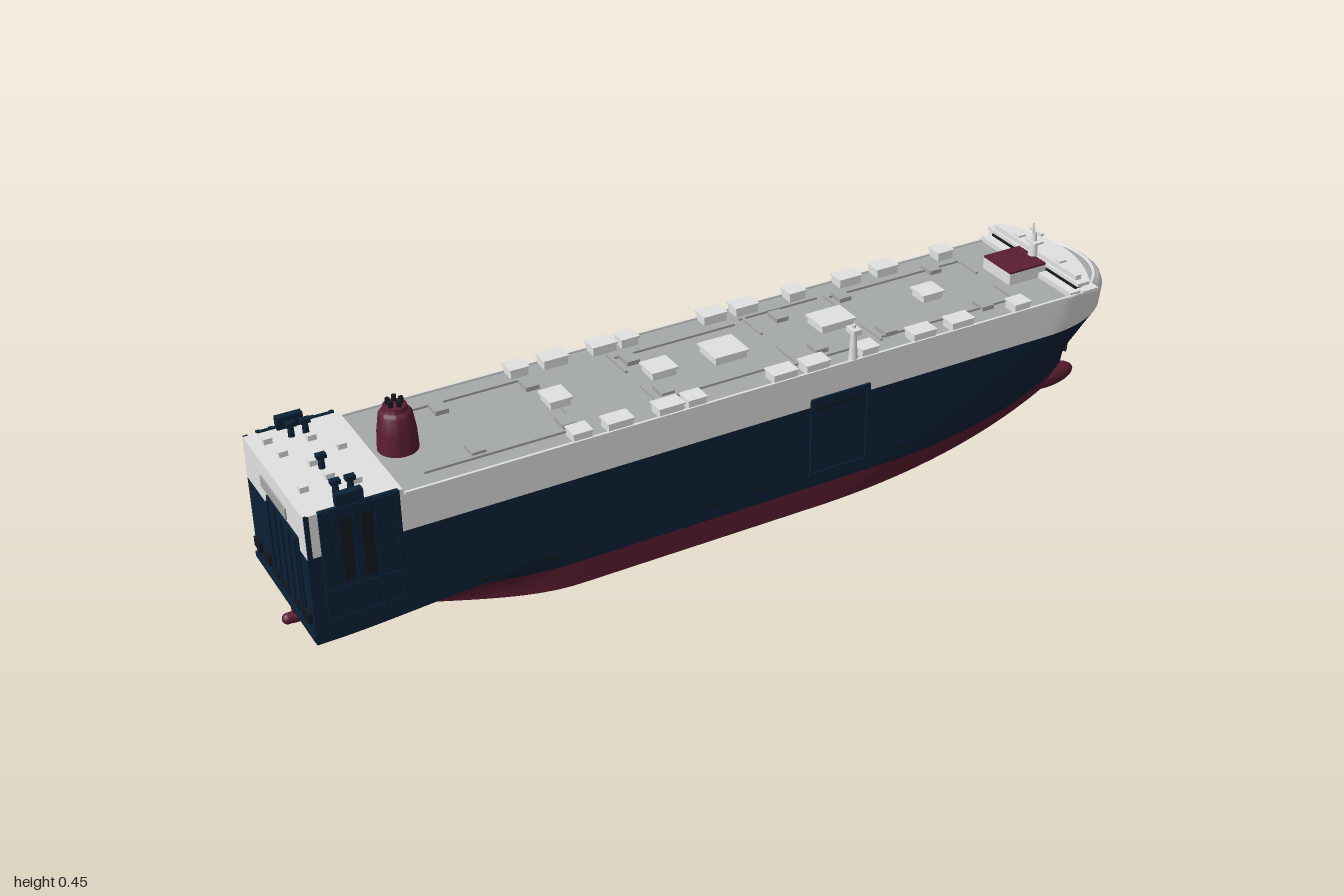
import * as THREE from 'three';
import { toCreasedNormals } from 'three/addons/utils/BufferGeometryUtils.js';

const material = (name, color, side = THREE.FrontSide) => {
  const m = new THREE.MeshStandardMaterial({ color, side });
  m.name = name;
  return m;
};
const B = 0.168; // half beam
const TOP = 0.335; // main deck height

// Linear lookup in a short [key, value] list
function lookup(list, k) {
  if (k <= list[0][0]) return list[0][1];
  for (let i = 1; i < list.length; i++) {
    const [a, va] = list[i - 1], [b, vb] = list[i];
    if (k <= b) return va + (vb - va) * (k - a) / (b - a);
  }
  return list[list.length - 1][1];
}
const stem = [[0, 0.9], [0.02, 0.93], [0.055, 0.94], [0.1, 0.948], [0.15, 0.962], [0.2, 0.982], [0.255, 0.998], [0.3, 1], [0.32, 0.99], [TOP, 0.965]];
const stern = [[0, -0.93], [0.055, -0.975], [0.075, -0.985]];
const sternWidth = [[0, 0.02], [0.02, 0.1], [0.04, 0.26], [0.055, 0.5], [0.075, 1]];
const entry = [[0, 0.15], [0.055, 0.3], [0.15, 0.55], [0.255, 0.76], [TOP, 0.8]];

// Half breadth at station x on the level n
function breadth(x, n) {
  const x0 = lookup(entry, n), s = Math.min(1, n / 0.255);
  const t = THREE.MathUtils.clamp((x - x0) / (lookup(stem, n) - x0), 0, 1);
  const bow = Math.pow(1 - Math.pow(t, 2), 1 - 0.5 * s);
  const aft = THREE.MathUtils.smoothstep(-x, 0.42, 0.95);
  return B * bow * (1 - (1 - lookup(sternWidth, n)) * aft);
}

// Hull band between levels; a level given as [n] is drawn in to the centreline
function hullBand(levels) {
  const N = 72, pos = [], idx = [], W = N + 2;
  for (const side of [1, -1]) {
    const base = pos.length / 3;
    levels.forEach((level, j) => {
      const centre = Array.isArray(level), n = centre ? level[0] : level;
      for (let i = -1; i <= N; i++) {
        const u = (1 - Math.cos(Math.PI * Math.max(i, 0) / N)) / 2;
        const x = THREE.MathUtils.lerp(lookup(stern, n), lookup(stem, n), u);
        const drop = n < 0.1 ? 0.45 * n * Math.min(1, (0.1 - n) / 0.045) * THREE.MathUtils.smoothstep(-x, 0.6, 0.97) : 0;
        pos.push(x, n - drop, centre || i < 0 ? 0 : side * breadth(x, n));
        if (j && i >= 0) {
          const d = base + j * W + i + 1, c = d - 1, b = d - W, a = b - 1;
          if (side > 0) idx.push(a, b, d, a, d, c);
          else idx.push(a, d, b, a, c, d);
        }
      }
    });
  }
  const g = new THREE.BufferGeometry();
  g.setAttribute('position', new THREE.Float32BufferAttribute(pos, 3));
  g.setIndex(idx);
  return toCreasedNormals(g, 0.7);
}

// Flat slab with a bowed forward edge
function bowedSlab(x0, x1, bulge, half, h) {
  const s = new THREE.Shape();
  s.moveTo(x0, -half);
  s.lineTo(x1, -half);
  s.quadraticCurveTo(x1 + 2 * bulge, 0, x1, half);
  s.lineTo(x0, half);
  s.closePath();
  const g = new THREE.ExtrudeGeometry(s, { depth: h, bevelEnabled: false, curveSegments: 20 });
  return g.rotateX(-Math.PI / 2);
}

export function createModel() {
  const ship = new THREE.Group();
  ship.name = 'carCarrierShip';
  const white = material('white paint', 0xe2e2e2);
  const grey = material('deck grey', 0xa6a9a9);
  const blue = material('navy hull', 0x0a2136);
  const red = material('maroon paint', 0x5c1d31);
  const dark = material('dark openings', 0x14191e);

  const add = (name, geo, mat, x = 0, y = 0, z = 0) => {
    const m = new THREE.Mesh(geo, mat);
    m.name = name;
    m.position.set(x, y, z);
    ship.add(m);
    return m;
  };
  // Box given by its centre in plan and its base height
  const box = (name, mat, x, y, z, w, h, d) => add(name, new THREE.BoxGeometry(w, h, d), mat, x, y + h / 2, z);
  const post = (name, mat, x, y, z, r0, r1, h, sides = 12) =>
    add(name, new THREE.CylinderGeometry(r1, r0, h, sides), mat, x, y + h / 2, z);

  // Hull in painted bands
  add('lowerHull', hullBand([[0], 0, 0.006, 0.02, 0.04, 0.055]), red);
  add('hullSides', hullBand([0.055, 0.065, 0.075, 0.1, 0.13, 0.165, 0.2, 0.23, 0.255]), blue);
  add('upperHull', hullBand([0.255, 0.28, 0.3, 0.311, 0.32, 0.328, TOP]), white);
  add('mainDeck', hullBand([TOP, [TOP]]), grey);
  add('bowBulb', new THREE.SphereGeometry(1, 24, 16).scale(0.085, 0.03, 0.03), red, 0.892, 0.031);
  box('rudder', red, -0.955, 0.002, 0, 0.045, 0.04, 0.01);
  add('rudderBulb', new THREE.CapsuleGeometry(0.012, 0.05, 6, 14).rotateZ(Math.PI / 2), red, -0.963, 0.014);

  // Low bulwark following the bow
  const rim = [];
  for (let i = -16; i <= 16; i++) {
    const a = i / 16 * Math.PI / 2;
    rim.push(new THREE.Vector3(0.8 + 0.162 * Math.cos(a), TOP + 0.003, 0.166 * Math.sin(a)));
  }
  add('bowBulwark', new THREE.TubeGeometry(new THREE.CatmullRomCurve3(rim), 60, 0.005, 6), white);

  // Raised aft deck with vents and mooring gear
  box('aftDeck', white, -0.885, 0.33, 0, 0.2, 0.02, 2 * B);
  [[-0.95, 0.08], [-0.94, -0.06], [-0.9, 0.0], [-0.89, 0.06], [-0.87, -0.09], [-0.85, 0.1], [-0.83, -0.03], [-0.95, -0.12]]
    .forEach(([x, z]) => box('deckVent', white, x, 0.35, z, 0.018, 0.012, 0.014));
  [[-0.9, 0.12], [-0.87, 0.12], [-0.9, -0.12], [-0.87, -0.12], [-0.89, 0.02]]
    .forEach(([x, z]) => {
      post('mooringPost', blue, x, 0.35, z, 0.007, 0.006, 0.025);
      box('mooringHead', blue, x, 0.373, z, 0.02, 0.009, 0.014);
    });

  // Transom: stern ramp, ports and name-free panel
  box('sternRamp', blue, -0.986, 0.085, 0.045, 0.006, 0.2, 0.17);
  for (let i = 0; i < 5; i++) box('rampRib', blue, -0.99, 0.1, -0.03 + i * 0.0375, 0.006, 0.18, 0.006);
  for (let i = 0; i < 6; i++) box('sternPort', dark, -0.986, 0.1, -0.14 + i * 0.056, 0.012, 0.022, 0.032);
  box('sternPanel', grey, -0.985, 0.29, 0, 0.006, 0.025, 0.14);
  box('sternSill', blue, -0.983, 0.065, 0, 0.012, 0.012, 2 * B);

  for (const s of [1, -1]) {
    // Quarter ramp towers
    box('rampTower', blue, -0.875, 0.1, s * 0.166, 0.16, 0.252, 0.008);
    [-0.952, -0.925, -0.885, -0.84, -0.798].forEach((x) => box('towerRib', blue, x, 0.1, s * 0.169, 0.009, 0.252, 0.008));
    [0.1, 0.165, 0.34].forEach((y) => box('towerBeam', blue, -0.875, y, s * 0.169, 0.16, 0.008, 0.007));
    box('towerHead', blue, -0.89, 0.345, s * 0.16, 0.055, 0.032, 0.016);
    [-0.905, -0.862].forEach((x) => box('towerSlot', dark, x, 0.185, s * 0.168, 0.022, 0.14, 0.006));
    box('sternPost', blue, -0.979, 0.255, s * 0.1665, 0.01, 0.095, 0.005);

    // Side loading door with raised frame
    box('sideDoor', blue, 0.204, 0.088, s * B, 0.14, 0.185, 0.004);
    [0.134, 0.274].forEach((x) => box('doorPost', blue, x, 0.085, s * 0.169, 0.008, 0.19, 0.009));
    [0.085, 0.268].forEach((y) => box('doorBeam', blue, 0.204, y, s * 0.169, 0.148, 0.007, 0.009));
    box('doorSeam', dark, 0.204, 0.245, s * 0.1695, 0.125, 0.006, 0.003);

    // Small recesses along the side
    [-0.62, -0.48, -0.4, -0.1, 0.02, 0.36].forEach((x) => box('sidePort', dark, x, 0.083, s * B, 0.03, 0.007, 0.003));

    // Deck edge coaming
    box('deckCoaming', white, 0.02, TOP, s * 0.165, 1.6, 0.005, 0.006);

    // Ventilator houses along the deck edge
    [-0.4, -0.315, -0.2, -0.14, 0.07, 0.15, 0.28, 0.42, 0.52, 0.68].forEach((x, i) => {
      const w = i % 3 ? 0.055 : 0.04;
      box('edgeVentHouse', white, x, TOP, s * 0.146, w, 0.018, 0.036);
      box('edgeVentCap', white, x, 0.353, s * 0.146, w + 0.005, 0.004, 0.041);
    });

    // Inner lockers and walkways
    [[-0.6, 0.09], [-0.4, 0.085], [-0.17, 0.075], [0.2, 0.08], [0.37, 0.09], [0.62, 0.1]]
      .forEach(([x, z]) => box('deckLocker', grey, x, TOP, s * z, 0.03, 0.01, 0.04));
    [[-0.55, 0.115, 0.34], [-0.05, 0.1, 0.3], [0.22, 0.115, 0.2], [0.52, 0.105, 0.36]]
      .forEach(([x, z, w]) => box('walkway', grey, x, TOP, s * z, w, 0.005, 0.007));
    [-0.38, -0.2, 0.13, 0.34, 0.7].forEach((x) => box('crossWalk', grey, x, TOP, s * 0.075, 0.007, 0.005, 0.085));

    // Hawse recesses and anchors on the bow
    const anchor = box('anchor', dark, 0.915, 0.115, s * breadth(0.915, 0.12), 0.02, 0.013, 0.012);
    anchor.rotation.y = s * 0.8;

    // Bridge wing
    box('bridgeWing', white, 0.86, 0.341, s * 0.16, 0.045, 0.007, 0.03);
  }

  // Centreline hatch houses
  [[-0.38, 0.045, 0.05], [-0.14, 0.055, 0.05], [0.015, 0.075, 0.07], [0.285, 0.08, 0.06], [0.54, 0.05, 0.045]]
    .forEach(([x, w, d]) => {
      box('hatchHouse', white, x, TOP, 0, w, 0.016, d);
      box('hatchRoof', white, x, 0.35, 0, w + 0.008, 0.005, d + 0.008);
    });

  // Funnel
  const funnel = new THREE.Group();
  funnel.name = 'funnel';
  funnel.position.set(-0.725, TOP, 0);
  ship.add(funnel);
  const stack = [[0, 0], [0.042, 0], [0.04, 0.04], [0.034, 0.08], [0.03, 0.085], [0.026, 0.087], [0.024, 0.098], [0, 0.098]]
    .map((p) => new THREE.Vector2(...p));
  const body = new THREE.Mesh(toCreasedNormals(new THREE.LatheGeometry(stack, 28), 0.6), red);
  body.name = 'funnelCasing';
  funnel.add(body);
  for (let i = 0; i < 5; i++) {
    const pipe = new THREE.Mesh(new THREE.CylinderGeometry(0.005, 0.005, 0.02, 10), dark);
    pipe.name = 'exhaustPipe';
    pipe.position.set(0.014 * Math.cos(i * 1.257), 0.101, 0.014 * Math.sin(i * 1.257));
    funnel.add(pipe);
  }

  // Wheelhouse with window band and overhanging roof
  add('bridgeDeck', bowedSlab(0.81, 0.855, 0.06, 0.166, 0.012), white, 0, TOP, 0);
  add('bridgeWindows', bowedSlab(0.832, 0.85, 0.05, 0.155, 0.012), dark, 0, 0.347, 0);
  add('bridgeRoof', bowedSlab(0.828, 0.86, 0.054, 0.168, 0.008), white, 0, 0.358, 0);
  add('bridgeTop', bowedSlab(0.835, 0.85, 0.045, 0.15, 0.011), white, 0, 0.366, 0);
  box('bridgeAnnex', white, 0.78, TOP, 0, 0.1, 0.028, 0.1);
  box('annexRoof', red, 0.78, 0.363, 0, 0.1, 0.004, 0.1);
  [-0.075, 0.075].forEach((z) => box('roofLocker', white, 0.85, 0.377, z, 0.02, 0.005, 0.018));

  // Radar mast
  post('radarMast', white, 0.83, 0.365, 0, 0.012, 0.005, 0.06);
  box('mastPlatform', white, 0.832, 0.398, 0, 0.025, 0.005, 0.036);
  box('radarBar', white, 0.836, 0.42, 0, 0.008, 0.006, 0.042);
  post('mastPole', white, 0.826, 0.42, 0, 0.003, 0.002, 0.027, 8);

  // Side crane post
  post('cranePost', white, 0.24, TOP, 0.157, 0.01, 0.006, 0.07);
  box('craneHead', white, 0.24, 0.4, 0.157, 0.02, 0.012, 0.03);
  post('craneLamp', white, 0.24, 0.412, 0.157, 0.004, 0.004, 0.008, 8);

  return ship;
}
